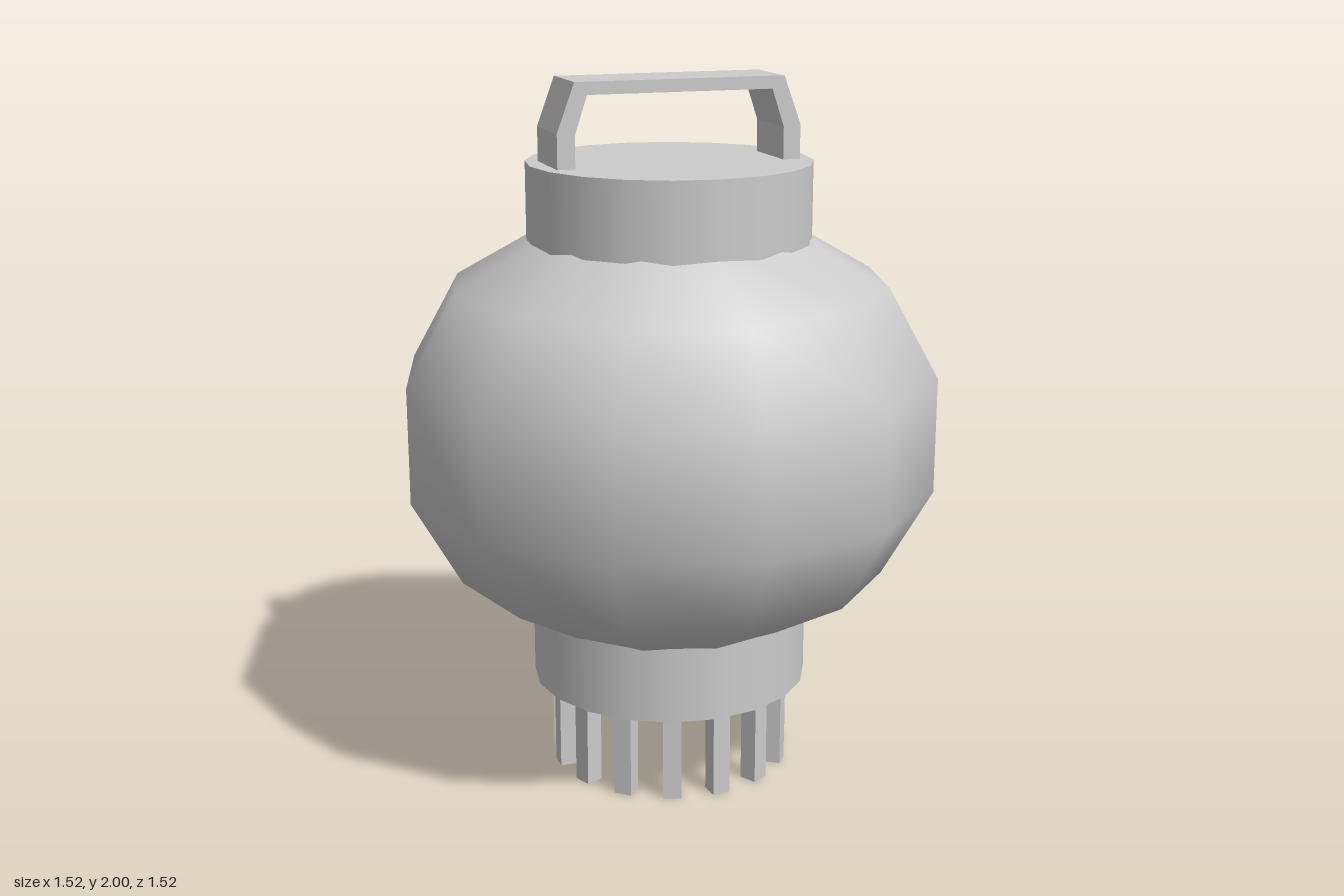
import * as THREE from 'three';
import { toCreasedNormals } from 'three/addons/utils/BufferGeometryUtils.js';

export function createModel() {
  const model = new THREE.Group();
  model.name = 'lantern';
  const material = new THREE.MeshStandardMaterial({ color: 0xcccccc });

  function add(name, geometry, parent = model) {
    const mesh = new THREE.Mesh(geometry, material);
    mesh.name = name;
    parent.add(mesh);
    return mesh;
  }

  // Rounded twelve-sided body, its open ends hidden inside the collars
  const profile = [
    [0.33, 0.433], [0.62, 0.6], [0.76, 0.85],
    [0.76, 1.18], [0.62, 1.43], [0.33, 1.597],
  ].map(([r, y]) => new THREE.Vector2(r, y));
  add('body', new THREE.LatheGeometry(profile, 12));

  // Collars above and below the body
  function collar(name, bottom, top) {
    const geometry = new THREE.CylinderGeometry(0.4, 0.4, top - bottom, 20);
    add(name, geometry).position.y = (bottom + top) / 2;
  }
  collar('topCollar', 1.5, 1.77);
  collar('bottomCollar', 0.26, 0.53);

  // Carrying handle: a bent strip, outer outline then inner outline
  const outline = [
    [-0.35, 1.765], [-0.35, 1.865], [-0.3, 2], [0.3, 2], [0.35, 1.865], [0.35, 1.765],
    [0.3, 1.765], [0.3, 1.86], [0.265, 1.965], [-0.265, 1.965], [-0.3, 1.86], [-0.3, 1.765],
  ].map(([x, y]) => new THREE.Vector2(x, y));
  const handle = new THREE.ExtrudeGeometry(new THREE.Shape(outline), { depth: 0.195, bevelEnabled: false });
  handle.translate(0, 0, -0.0975);
  add('handle', toCreasedNormals(handle, 0.3));

  // Ring of square pins, each turned to face outward
  const pins = new THREE.Group();
  pins.name = 'pins';
  model.add(pins);
  const pinCount = 15;
  const pinGeometry = new THREE.BoxGeometry(0.052, 0.28, 0.052);
  for (let i = 0; i < pinCount; i++) {
    const angle = Math.PI + (i / pinCount) * Math.PI * 2;
    const pin = add('pin', pinGeometry, pins);
    pin.position.set(Math.cos(angle) * 0.322, 0.14, Math.sin(angle) * 0.322);
    pin.rotation.y = -angle;
  }

  return model;
}
